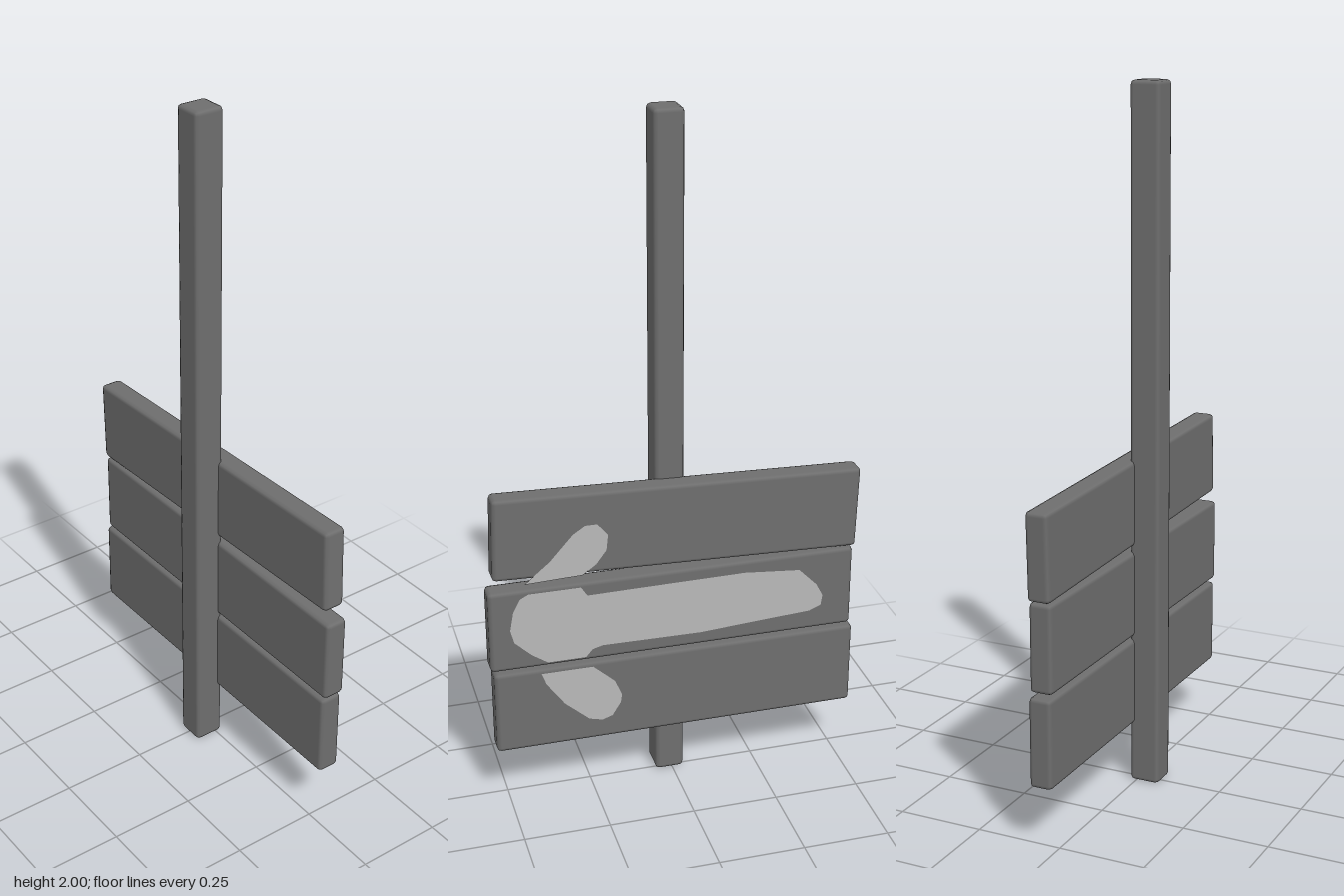
import * as THREE from 'three';
import { RoundedBoxGeometry } from 'three/addons/geometries/RoundedBoxGeometry.js';

export function createModel() {
  const model = new THREE.Group();
  model.name = 'signpost';
  const wood = new THREE.MeshStandardMaterial({ color: 0x6e6e6e });
  wood.name = 'weathered grey wood';
  const paint = new THREE.MeshStandardMaterial({ color: 0xb8b8b8 });
  paint.name = 'pale grey paint';

  // Bevelled timber, given by centre and size
  function timber(name, [x, y, z], [w, h, d], tilt = 0) {
    const mesh = new THREE.Mesh(new RoundedBoxGeometry(w, h, d, 1, 0.012), wood);
    mesh.name = name;
    mesh.position.set(x, y, z);
    mesh.rotation.z = tilt;
    model.add(mesh);
  }

  timber('post', [0.008, 1, 0.026], [0.085, 2, 0.088]);
  timber('lowerPlank', [-0.002, 0.307, -0.036], [1.074, 0.255, 0.066]);
  timber('middlePlank', [0.007, 0.57, -0.036], [1.074, 0.25, 0.066]);
  timber('upperPlank', [-0.008, 0.838, -0.036], [1.066, 0.246, 0.066], 0.031);

  // Brushed arrow on the back, one patch of paint per plank
  const strokes = {
    arrowUpperBarb: [[0.44, 0.715], [0.367, 0.775], [0.30, 0.85], [0.265, 0.873], [0.23, 0.873],
      [0.2, 0.837], [0.205, 0.79], [0.235, 0.75], [0.275, 0.721]],
    arrowShaft: [[0.43, 0.683], [0.28, 0.683], [0.262, 0.655], [0.1, 0.657], [-0.2, 0.66], [-0.366, 0.645],
      [-0.42, 0.59], [-0.44, 0.552], [-0.435, 0.52], [-0.40, 0.506], [-0.25, 0.497], [-0.07, 0.485],
      [0.22, 0.488], [0.25, 0.48], [0.27, 0.457], [0.38, 0.457], [0.426, 0.488], [0.475, 0.535],
      [0.485, 0.575], [0.475, 0.63], [0.455, 0.67]],
    arrowLowerBarb: [[0.40, 0.422], [0.387, 0.386], [0.335, 0.313], [0.264, 0.25], [0.225, 0.24],
      [0.195, 0.25], [0.17, 0.29], [0.166, 0.315], [0.186, 0.364], [0.23, 0.404], [0.25, 0.422]],
  };
  for (const [name, points] of Object.entries(strokes)) {
    const shape = new THREE.Shape(points.map(([x, y]) => new THREE.Vector2(-x, y)));
    const mesh = new THREE.Mesh(new THREE.ShapeGeometry(shape), paint);
    mesh.name = name;
    mesh.rotation.y = Math.PI;
    mesh.position.z = -0.0705;
    model.add(mesh);
  }
  return model;
}
